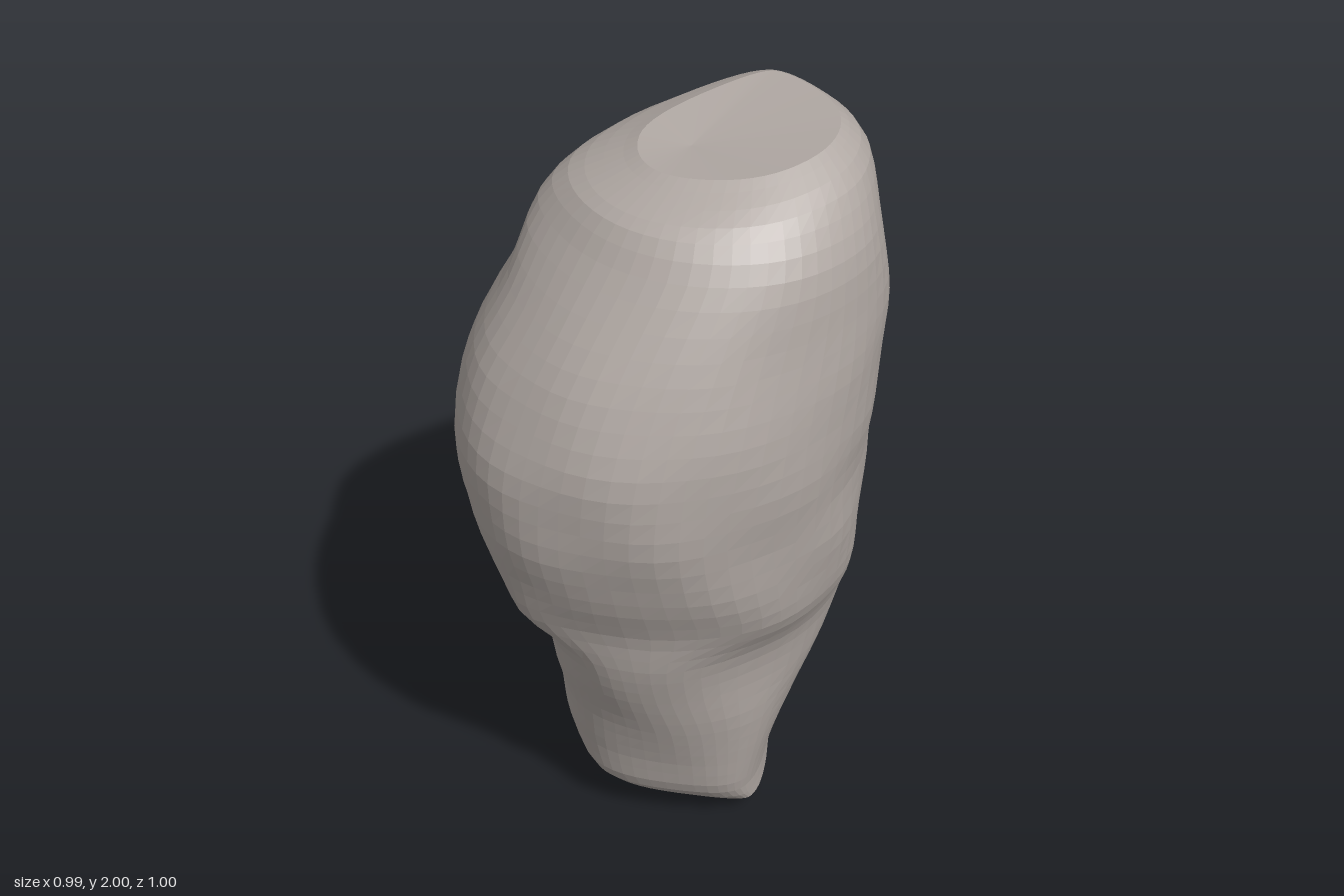
import * as THREE from 'three';

// Cross-sections from bottom to top: y, then the reach from the axis in eight
// directions, 45 degrees apart, from +x through +z
const SECTIONS = [
  [0.00, 0.14, 0.03, -0.07, -0.11, -0.06, 0.05, 0.15, 0.19],
  [0.05, 0.24, 0.19, 0.06, 0.07, 0.08, 0.15, 0.19, 0.26],
  [0.15, 0.25, 0.235, 0.16, 0.20, 0.215, 0.28, 0.28, 0.33],
  [0.28, 0.28, 0.26, 0.20, 0.24, 0.28, 0.33, 0.37, 0.41],
  [0.43, 0.33, 0.285, 0.25, 0.27, 0.295, 0.35, 0.42, 0.44],
  [0.58, 0.385, 0.30, 0.31, 0.315, 0.30, 0.35, 0.485, 0.46],
  [0.72, 0.42, 0.33, 0.355, 0.36, 0.305, 0.35, 0.50, 0.48],
  [0.85, 0.445, 0.40, 0.38, 0.45, 0.355, 0.365, 0.47, 0.50],
  [1.00, 0.46, 0.43, 0.445, 0.495, 0.42, 0.40, 0.445, 0.515],
  [1.17, 0.465, 0.45, 0.49, 0.53, 0.48, 0.45, 0.45, 0.52],
  [1.34, 0.48, 0.465, 0.50, 0.525, 0.495, 0.475, 0.465, 0.515],
  [1.50, 0.49, 0.455, 0.465, 0.47, 0.45, 0.465, 0.445, 0.51],
  [1.65, 0.49, 0.435, 0.40, 0.38, 0.37, 0.40, 0.44, 0.485],
  [1.80, 0.465, 0.41, 0.32, 0.27, 0.31, 0.33, 0.44, 0.465],
  [1.91, 0.43, 0.34, 0.24, 0.19, 0.20, 0.26, 0.435, 0.45],
  [1.97, 0.36, 0.25, 0.13, 0.08, 0.08, 0.14, 0.33, 0.38],
];
const STEPS = 7; // points per 45 degrees

// Smoothly interpolated section at t in 0..1
function sectionAt(t) {
  const last = SECTIONS.length - 1;
  const i = Math.min(Math.floor(t * last), last - 1);
  const u = t * last - i;
  const get = (k) => SECTIONS[Math.max(0, Math.min(last, k))];
  const [a, b, c, d] = [get(i - 1), get(i), get(i + 1), get(i + 2)];
  return b.map((p, k) => p + 0.5 * u * (c[k] - a[k]
    + u * (2 * a[k] - 5 * p + 4 * c[k] - d[k] + u * (3 * (p - c[k]) + d[k] - a[k]))));
}

// Rounded outline touching the eight sides of the octagon given by the reaches
function outline(reach) {
  const corners = reach.map((h, i) => {
    const a = i * Math.PI / 4;
    const along = reach[(i + 1) % 8] * Math.SQRT2 - h;
    return new THREE.Vector2(h * Math.cos(a) - along * Math.sin(a), h * Math.sin(a) + along * Math.cos(a));
  });
  return corners.flatMap((corner, i) => {
    const start = corners[(i + 7) % 8].clone().lerp(corner, 0.5);
    const end = corner.clone().lerp(corners[(i + 1) % 8], 0.5);
    const curve = new THREE.QuadraticBezierCurve(start, corner, end);
    return curve.getPoints(STEPS).slice(0, STEPS);
  });
}

function boulderGeometry(rows) {
  const segments = 8 * STEPS;
  const positions = [];
  const indices = [];
  for (let r = 0; r <= rows; r++) {
    const t = r / rows;
    const [y, ...reach] = sectionAt(t);
    const fade = Math.sin(Math.PI * t);
    const crown = THREE.MathUtils.smoothstep(y, 1.85, 1.97);
    outline(reach).forEach((p, s) => {
      const a = (s / segments) * Math.PI * 2;
      // Shallow dents over the skin
      const lump = 1 + fade * (0.007 * Math.sin(5 * a + 9 * y) * Math.sin(17 * y - 2 * a)
        + 0.005 * Math.sin(9 * a - 14 * y));
      // Crown rises towards the back corner
      const lift = crown * 0.08 * (p.x - p.y - 0.2);
      positions.push(p.x * lump, Math.max(0, y + lift), p.y * lump);
    });
  }
  for (let r = 0; r < rows; r++) {
    for (let s = 0; s < segments; s++) {
      const a = r * segments + s;
      const b = r * segments + (s + 1) % segments;
      indices.push(a, a + segments, b, b, a + segments, b + segments);
    }
  }
  // Underside and crown, closed with fans
  const base = positions.length / 3;
  const top = rows * segments;
  positions.push(0.1, 0, -0.11, 0.04, 1.945, -0.03);
  for (let s = 0; s < segments; s++) {
    const next = (s + 1) % segments;
    indices.push(base, s, next, base + 1, top + next, top + s);
  }

  const geometry = new THREE.BufferGeometry();
  geometry.setAttribute('position', new THREE.Float32BufferAttribute(positions, 3));
  geometry.setIndex(indices);
  geometry.computeVertexNormals();
  return geometry;
}

export function createModel() {
  const group = new THREE.Group();
  group.name = 'rock';
  const material = new THREE.MeshStandardMaterial({ color: 0xb0a8a3, flatShading: true });
  const boulder = new THREE.Mesh(boulderGeometry(45), material);
  boulder.name = 'boulder';
  group.add(boulder);
  return group;
}
